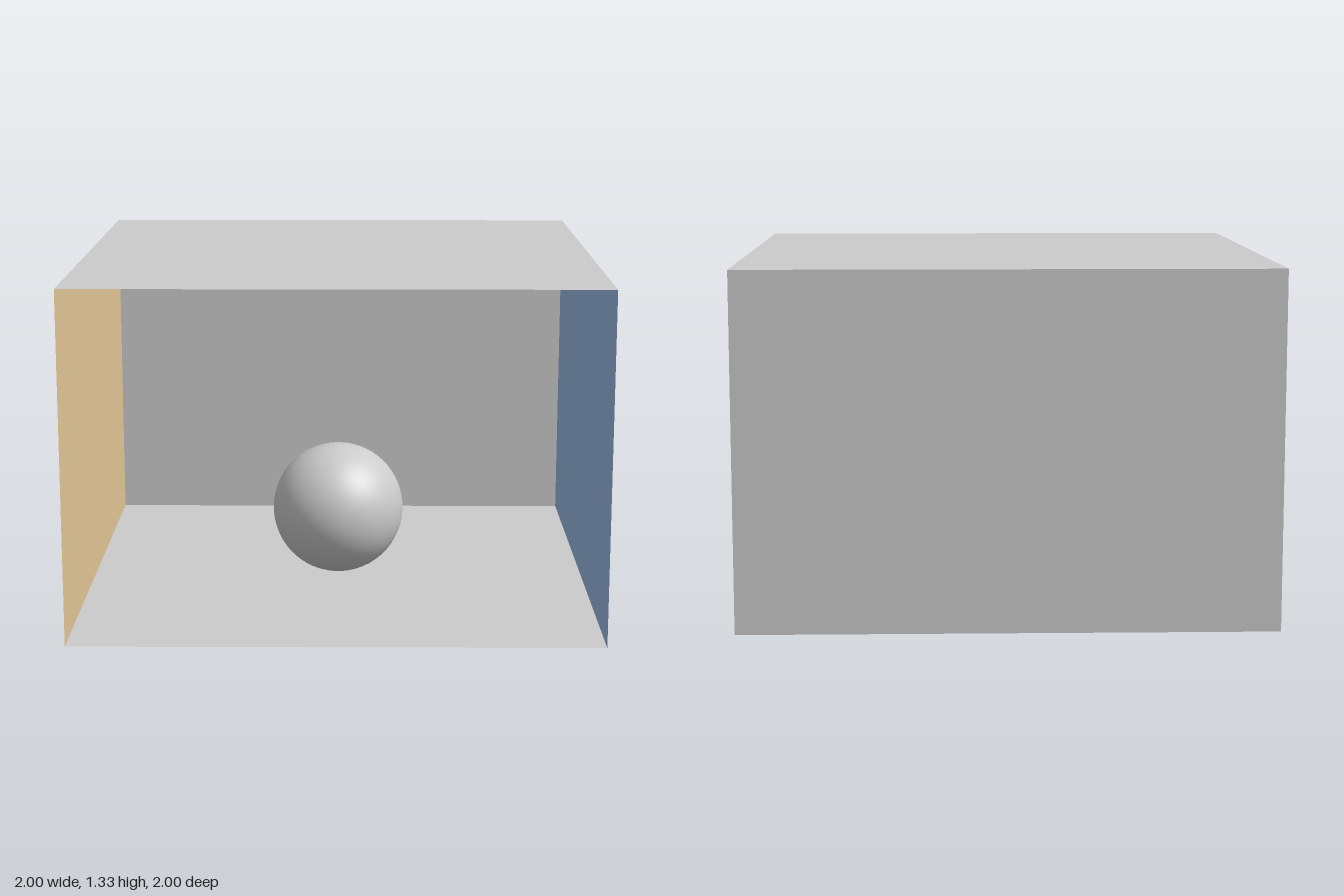
import * as THREE from 'three';

const WIDTH = 2, DEPTH = 2, HEIGHT = 1.333, RADIUS = HEIGHT / 5;

export function createModel() {
  const model = new THREE.Group();
  model.name = 'openRoom';

  const grey = new THREE.MeshStandardMaterial({ color: 0xcccccc, side: THREE.DoubleSide });
  const tan = new THREE.MeshStandardMaterial({ color: 0xe6c899, side: THREE.DoubleSide });
  const blue = new THREE.MeshStandardMaterial({ color: 0x99bbe6, side: THREE.DoubleSide });

  // Thin panel, turned to face into the room
  function panel(name, material, w, h, position, rotation) {
    const mesh = new THREE.Mesh(new THREE.PlaneGeometry(w, h), material);
    mesh.name = name;
    mesh.position.set(...position);
    mesh.rotation.set(...rotation);
    model.add(mesh);
  }

  const quarter = Math.PI / 2, mid = HEIGHT / 2;
  panel('floor', grey, WIDTH, DEPTH, [0, 0, 0], [-quarter, 0, 0]);
  panel('ceiling', grey, WIDTH, DEPTH, [0, HEIGHT, 0], [quarter, 0, 0]);
  panel('backWall', grey, WIDTH, HEIGHT, [0, mid, -DEPTH / 2], [0, 0, 0]);
  panel('leftWall', blue, DEPTH, HEIGHT, [WIDTH / 2, mid, 0], [0, -quarter, 0]);
  panel('rightWall', tan, DEPTH, HEIGHT, [-WIDTH / 2, mid, 0], [0, quarter, 0]);

  // Ball resting in the middle of the floor
  const ball = new THREE.Mesh(
    new THREE.SphereGeometry(RADIUS, 64, 32),
    new THREE.MeshStandardMaterial({ color: 0xcccccc })
  );
  ball.name = 'ball';
  ball.position.y = RADIUS;
  model.add(ball);

  return model;
}
